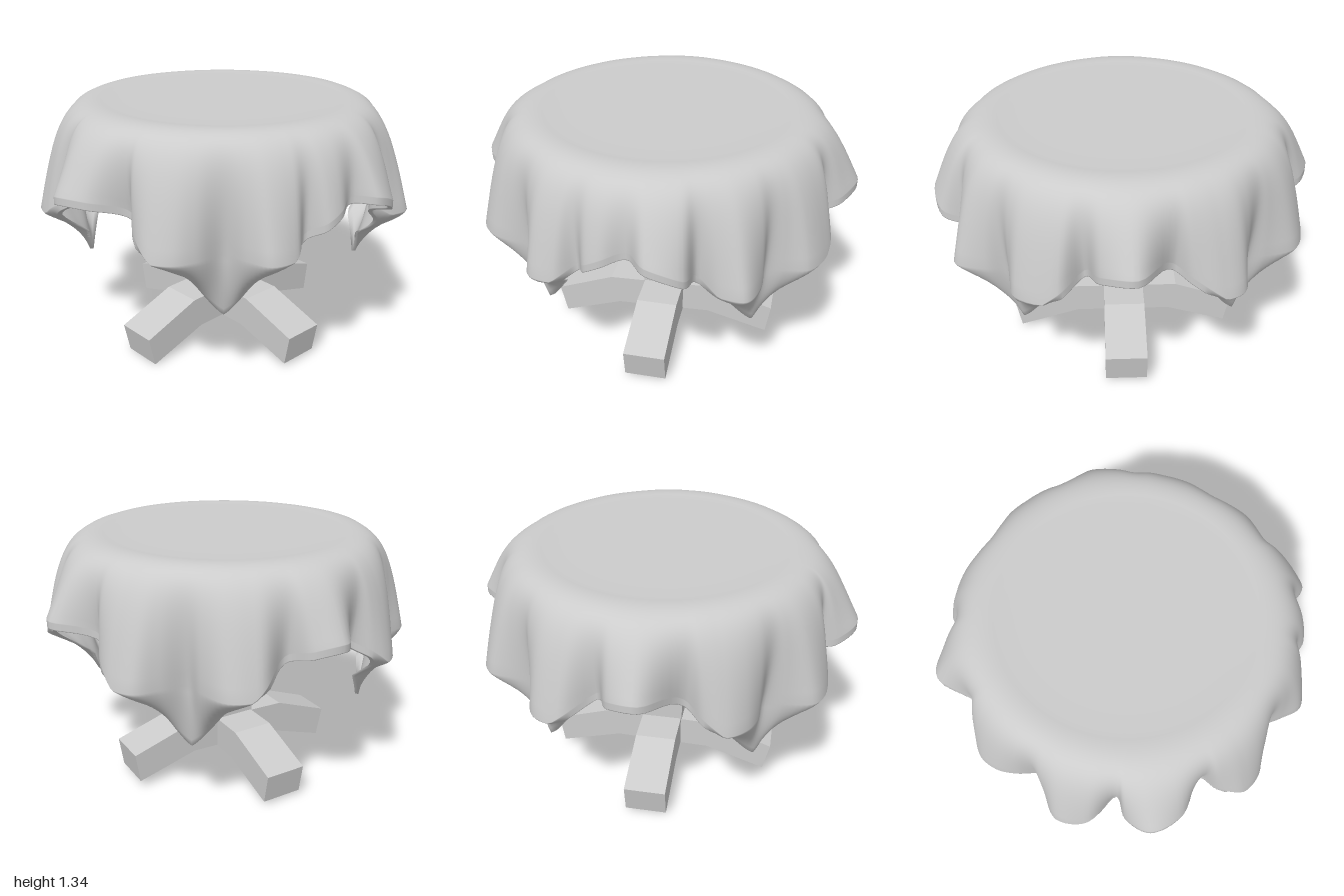
import * as THREE from 'three';

const { clamp, lerp, degToRad, radToDeg } = THREE.MathUtils;
const material = new THREE.MeshStandardMaterial({ color: 0xcccccc, side: THREE.DoubleSide });

function add(parent, name, geometry) {
  const mesh = new THREE.Mesh(geometry, material);
  mesh.name = name;
  parent.add(mesh);
  return mesh;
}

// Widest outline of the folds from above: angle in degrees (+x toward +z), radius
const folds = [
  [-2, 0.99], [8, 0.93], [14, 0.82], [20, 0.94], [33, 0.96], [39, 0.88], [44, 0.82], [49, 0.9],
  [57, 0.99], [63, 0.93], [69, 0.84], [74, 0.96], [84, 0.97], [90, 0.87], [97, 0.92], [102, 0.92],
  [107, 0.85], [112, 0.94], [120, 0.97], [126, 0.89], [132.5, 0.81], [140, 0.9], [146, 0.96],
  [153, 0.97], [160, 0.89], [164, 0.8], [174, 0.95], [184, 1.0], [191, 0.92], [194, 0.81],
  [202, 0.94], [212, 0.97], [219, 0.87], [224, 0.79], [230, 0.87], [236, 0.93], [243, 0.95],
  [249, 0.9], [254, 0.81], [267, 0.98], [276, 0.94], [282, 0.83], [291, 0.96], [300, 0.97],
  [308, 0.87], [313, 0.8], [320, 0.88], [326, 0.97], [333, 0.97], [341, 0.9], [346, 0.82],
];
const cornerAngles = [44, 132.5, 224, 313];

// The square cloth hangs lowest at its four corners
function hemHeight(degrees) {
  const d = Math.min(...cornerAngles.map((c) => Math.abs(((degrees - c + 540) % 360) - 180)));
  return 0.46 + 0.52 * Math.pow(Math.sin((Math.min(1, d / 45) * Math.PI) / 2), 1.2);
}

// Skirt section: t 0..1 rounds the rim and flares out, t 1..1.5 tucks the corner flaps in
function skirtPoint(t, foldRadius, hemY) {
  const foldY = Math.max(0.8, hemY + 0.04);
  if (t > 1) {
    const s = (t - 1) * 2;
    const tucked = lerp(foldRadius, Math.min(foldRadius, 0.75), clamp((0.84 - hemY) / 0.2, 0, 1));
    return [lerp(foldRadius, tucked, s ** 1.5), lerp(foldY, hemY, s)];
  }
  const s = 1 - t;
  const a = s ** 3, b = 3 * s * s * t, c = 3 * s * t * t, d = t ** 3;
  return [
    a * 0.6 + b * 0.82 + c * 0.87 + d * foldRadius,
    a * 1.345 + b * 1.375 + c * 1.25 + d * foldY,
  ];
}

// Cloth: flat top, fluted skirt, then a thin inner layer
function clothGeometry() {
  const outline = new THREE.CatmullRomCurve3(
    folds.map(([deg, r]) => {
      const a = degToRad(deg);
      return new THREE.Vector3(r * Math.cos(a), 0, r * Math.sin(a));
    }), true);
  const columns = folds.length * 6;

  const rows = [0.001, 0.3, 0.5].map((top) => ({ top }));
  for (let i = 0; i <= 30; i++) rows.push({ t: i / 20, scale: 1 });
  for (let i = 30; i >= 7; i--) rows.push({ t: i / 20, scale: 0.975 });

  const positions = [], indices = [];
  rows.forEach((row, i) => {
    for (let j = 0; j < columns; j++) {
      const p = outline.getPoint(j / columns);
      const angle = Math.atan2(p.z, p.x);
      let r = row.top, y = 1.345;
      if (r === undefined) {
        [r, y] = skirtPoint(row.t, Math.hypot(p.x, p.z), hemHeight(radToDeg(angle)));
        r *= row.scale;
      }
      positions.push(r * Math.cos(angle), y, r * Math.sin(angle));
      if (i < rows.length - 1) {
        const k = (j + 1) % columns, m = i * columns, n = m + columns;
        indices.push(m + j, m + k, n + j, m + k, n + k, n + j);
      }
    }
  });
  const geometry = new THREE.BufferGeometry();
  geometry.setAttribute('position', new THREE.Float32BufferAttribute(positions, 3));
  geometry.setIndex(indices);
  geometry.computeVertexNormals();
  return geometry;
}

export function createModel() {
  const model = new THREE.Group();
  model.name = 'roundTableWithCloth';

  add(model, 'tablecloth', clothGeometry());
  add(model, 'tableTop', new THREE.CylinderGeometry(0.65, 0.65, 0.11, 64)).position.y = 1.27;
  add(model, 'column', new THREE.BoxGeometry(0.22, 1.1, 0.22)).position.y = 0.69;

  // Four bent feet around a square hub, the side pair tilted slightly
  const base = new THREE.Group();
  base.name = 'base';
  base.position.x = 0.005;
  model.add(base);
  add(base, 'hub', new THREE.BoxGeometry(0.22, 0.17, 0.22)).position.y = 0.215;

  const profile = new THREE.Shape([
    [0.1, 0.13], [0.26, 0.13], [0.59, 0.03], [0.62, 0.19], [0.3, 0.3], [0.1, 0.3],
  ].map(([x, y]) => new THREE.Vector2(x, y)));
  const footGeometry = new THREE.ExtrudeGeometry(profile, { depth: 0.22, bevelEnabled: false });
  footGeometry.translate(0, 0, -0.11);
  [['left', 0.035], ['back', 0], ['right', -0.035], ['front', 0]].forEach(([side, tilt], i) => {
    add(base, side + 'Foot', footGeometry).rotation.set(0, (i * Math.PI) / 2, tilt);
  });

  return model;
}
